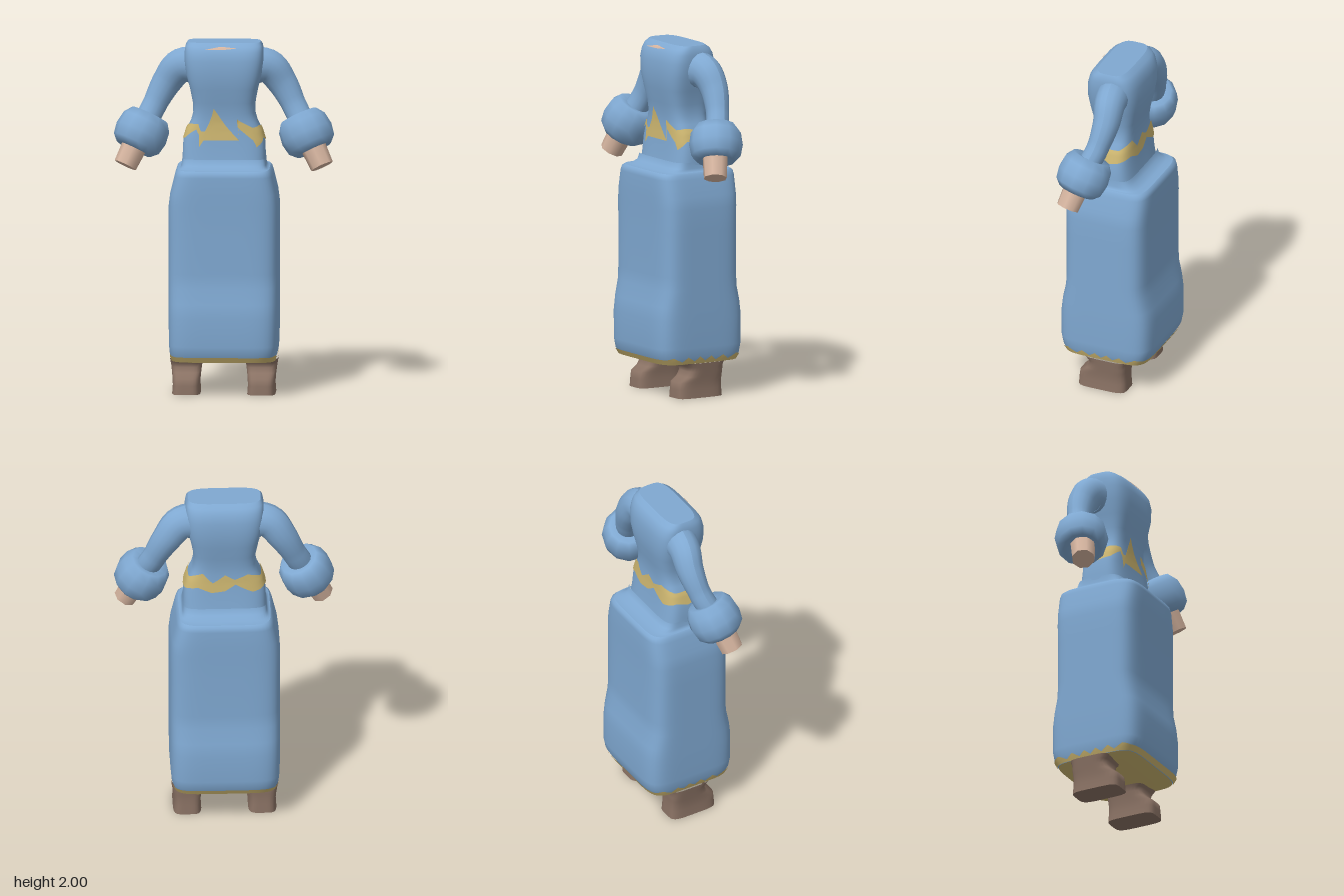
import * as THREE from 'three';

const mat = (name, color) => Object.assign(new THREE.MeshStandardMaterial({ color }), { name });

// Rounded-rectangle ring point. Section: [y, halfWidth, halfDepth, centreX, centreZ]
function ringPoint([y, a, b, cx = 0, cz = 0], n, t, grow = 0) {
  const c = Math.cos(t), s = Math.sin(t);
  const r = 1 / Math.pow(Math.abs(c) ** n + Math.abs(s) ** n, 1 / n);
  return [cx + (a + grow) * c * r, y, cz + (b + grow) * s * r];
}

// Grid of points into a surface, rows running upward
function gridGeometry(rows, wrap) {
  const w = rows[0].length, index = [];
  for (let j = 0; j < rows.length - 1; j++) {
    for (let i = 0; i < (wrap ? w : w - 1); i++) {
      const k = (i + 1) % w, p = j * w + i, q = j * w + k;
      index.push(p, p + w, q, q, p + w, q + w);
    }
  }
  const g = new THREE.BufferGeometry();
  g.setAttribute('position', new THREE.Float32BufferAttribute(rows.flat(2), 3));
  g.setIndex(index);
  g.computeVertexNormals();
  return g;
}

// Closed loft; a repeated section makes a crisp edge
function loft(sections, n, sides = 96) {
  return gridGeometry(sections.map((s) =>
    Array.from({ length: sides }, (_, i) => ringPoint(s, n, (i / sides) * Math.PI * 2))), true);
}

function sectionAt(sections, y) {
  let i = 0;
  while (i < sections.length - 2 && sections[i + 1][0] < y) i++;
  const p = sections[i], q = sections[i + 1];
  const f = (y - p[0]) / (q[0] - p[0] || 1);
  return [y, p[1] + (q[1] - p[1]) * f, p[2] + (q[2] - p[2]) * f];
}

// Thin coloured strip following a loft; outline points: [degrees, low, high]
function band(sections, n, outline, rowsCount = 8) {
  const cols = [];
  for (let i = 0; i < outline.length - 1; i++) {
    const p = outline[i], q = outline[i + 1];
    const steps = Math.max(1, Math.ceil((q[0] - p[0]) / 3));
    for (let k = i ? 1 : 0; k <= steps; k++) cols.push(p.map((v, d) => v + ((q[d] - v) * k) / steps));
  }
  const rows = [];
  for (let j = 0; j <= rowsCount; j++) {
    rows.push(cols.map(([deg, lo, hi]) => {
      const y = lo + ((hi - lo) * j) / rowsCount;
      return ringPoint(sectionAt(sections, y), n, (deg * Math.PI) / 180, 0.005);
    }));
  }
  return gridGeometry(rows, false);
}

export function createModel() {
  const model = new THREE.Group();
  model.name = 'robedFigure';
  const blue = mat('robeBlue', 0x7fa8d1);
  const gold = mat('trimGold', 0xcdb670);
  const skin = mat('skin', 0xd6b5a0);
  const brown = mat('bootBrown', 0x8a7264);
  const add = (name, geometry, material, parent = model) => {
    const m = new THREE.Mesh(geometry, material);
    m.name = name;
    parent.add(m);
    return m;
  };

  // Long boxy skirt with a flared hem and a flat shelf at the hips
  const skirt = [
    [0.2, 0.29, 0.25], [0.235, 0.303, 0.27], [0.29, 0.308, 0.28], [0.45, 0.31, 0.28],
    [0.53, 0.31, 0.27], [0.62, 0.31, 0.25], [0.7, 0.31, 0.246], [0.95, 0.31, 0.246],
    [1.08, 0.31, 0.248], [1.15, 0.301, 0.25], [1.25, 0.276, 0.25], [1.275, 0.268, 0.245],
    [1.286, 0.258, 0.23], [1.286, 0.258, 0.23], [1.288, 0.245, 0.19], [1.305, 0.238, 0.15],
    [1.34, 0.235, 0.135],
  ];
  add('skirt', loft(skirt, 6), blue);
  add('skirtUnderside', loft([
    [0.185, 0, 0], [0.188, 0.2, 0.15], [0.194, 0.27, 0.22], [0.2, 0.29, 0.25],
  ], 6), gold);

  // Jagged gold hem
  const hem = [];
  for (let i = 0; i <= 48; i++) {
    const deg = i * 7.5, onSide = Math.abs(Math.cos((deg * Math.PI) / 180)) > 0.72;
    hem.push([deg, 0.2, onSide ? (i % 2 ? 0.24 : 0.213) : 0.23]);
  }
  add('hemTrim', band(skirt, 6, hem, 3), gold);

  // Bodice from hips to the flat collar
  const bodice = [
    [1.3, 0.238, 0.14], [1.36, 0.234, 0.13], [1.44, 0.23, 0.122], [1.5, 0.212, 0.117],
    [1.55, 0.187, 0.115], [1.6, 0.174, 0.118], [1.66, 0.177, 0.127], [1.74, 0.193, 0.145],
    [1.82, 0.214, 0.155], [1.9, 0.224, 0.153], [1.95, 0.222, 0.14], [1.98, 0.217, 0.12],
    [2.0, 0.205, 0.09], [2.0, 0.205, 0.09], [2.0, 0, 0],
  ];
  add('bodice', loft(bodice, 4), blue);

  // Jagged gold sash and a sliver of skin at the neckline
  add('sash', band(bodice, 4, [
    [0, 1.44, 1.52], [30, 1.46, 1.53], [48, 1.41, 1.52], [52, 1.45, 1.53], [68, 1.52, 1.57],
    [68.5, 1.45, 1.45], [107, 1.45, 1.63], [116, 1.45, 1.5], [121, 1.41, 1.5], [123, 1.48, 1.51],
    [128, 1.51, 1.54], [145, 1.46, 1.54], [180, 1.44, 1.52], [210, 1.46, 1.52], [235, 1.44, 1.55],
    [255, 1.49, 1.52], [270, 1.45, 1.55], [288, 1.44, 1.5], [305, 1.47, 1.56], [330, 1.45, 1.52],
    [360, 1.44, 1.52],
  ]), gold);
  add('neckline', band(bodice, 4, [
    [70, 1.975, 1.975], [88, 1.968, 1.982], [96, 1.967, 1.983], [117, 1.966, 1.966],
  ], 4), skin);

  for (const s of [1, -1]) {
    const side = s > 0 ? 'left' : 'right';

    // Tapering sleeve
    const arm = new THREE.Group();
    arm.name = side + 'Arm';
    model.add(arm);
    const path = new THREE.CatmullRomCurve3([
      [0.14, 1.86, -0.02], [0.25, 1.85, -0.035], [0.325, 1.76, -0.045], [0.4, 1.62, -0.02], [0.45, 1.52, 0.02],
    ].map(([x, y, z]) => new THREE.Vector3(x * s, y, z)));
    const seg = 24, around = 16;
    const sleeve = new THREE.TubeGeometry(path, seg, 1, around);
    const pos = sleeve.attributes.position, v = new THREE.Vector3();
    for (let i = 0; i < pos.count; i++) {
      const u = Math.floor(i / (around + 1)) / seg;
      const c = path.getPointAt(u);
      v.fromBufferAttribute(pos, i).sub(c).multiplyScalar(0.11 - 0.04 * Math.min(1, u * 1.4));
      v.z *= 0.9;
      v.add(c);
      pos.setXYZ(i, v.x, v.y, v.z);
    }
    sleeve.computeVertexNormals();
    add(side + 'Sleeve', sleeve, blue, arm);

    // Puffy cuff and blunt hand share the forearm axis
    const axis = new THREE.Vector3(0.42 * s, -0.87, 0.25).normalize();
    const turn = new THREE.Quaternion().setFromUnitVectors(new THREE.Vector3(0, -1, 0), axis);
    const profile = [
      [0.05, -0.07], [0.105, -0.1], [0.14, -0.065], [0.152, 0], [0.142, 0.07], [0.11, 0.115], [0.055, 0.105],
    ].map(([r, y]) => new THREE.Vector2(r, y));
    const cuff = add(side + 'Cuff', new THREE.LatheGeometry(profile, 12), blue, arm);
    cuff.position.set(0.468 * s, 1.475, 0.033);
    cuff.quaternion.copy(turn);
    const hand = add(side + 'Hand', new THREE.CylinderGeometry(0.075, 0.066, 0.17, 8), skin, arm);
    hand.position.set(0.52 * s, 1.375, 0.07);
    hand.quaternion.copy(turn);

    // Boot with a short toe
    const x = 0.212 * s;
    add(side + 'Boot', loft([
      [0, 0, 0, x, 0.008], [0, 0.08, 0.145, x, 0.01], [0, 0.08, 0.145, x, 0.01],
      [0.05, 0.076, 0.142, x, 0.01], [0.09, 0.078, 0.138, x, 0.008], [0.12, 0.082, 0.118, x, -0.014],
      [0.15, 0.086, 0.11, x, -0.024], [0.175, 0.09, 0.112, x, -0.022], [0.2, 0.1, 0.13, x * 0.97, -0.015],
    ], 5, 40), brown);
  }
  return model;
}
